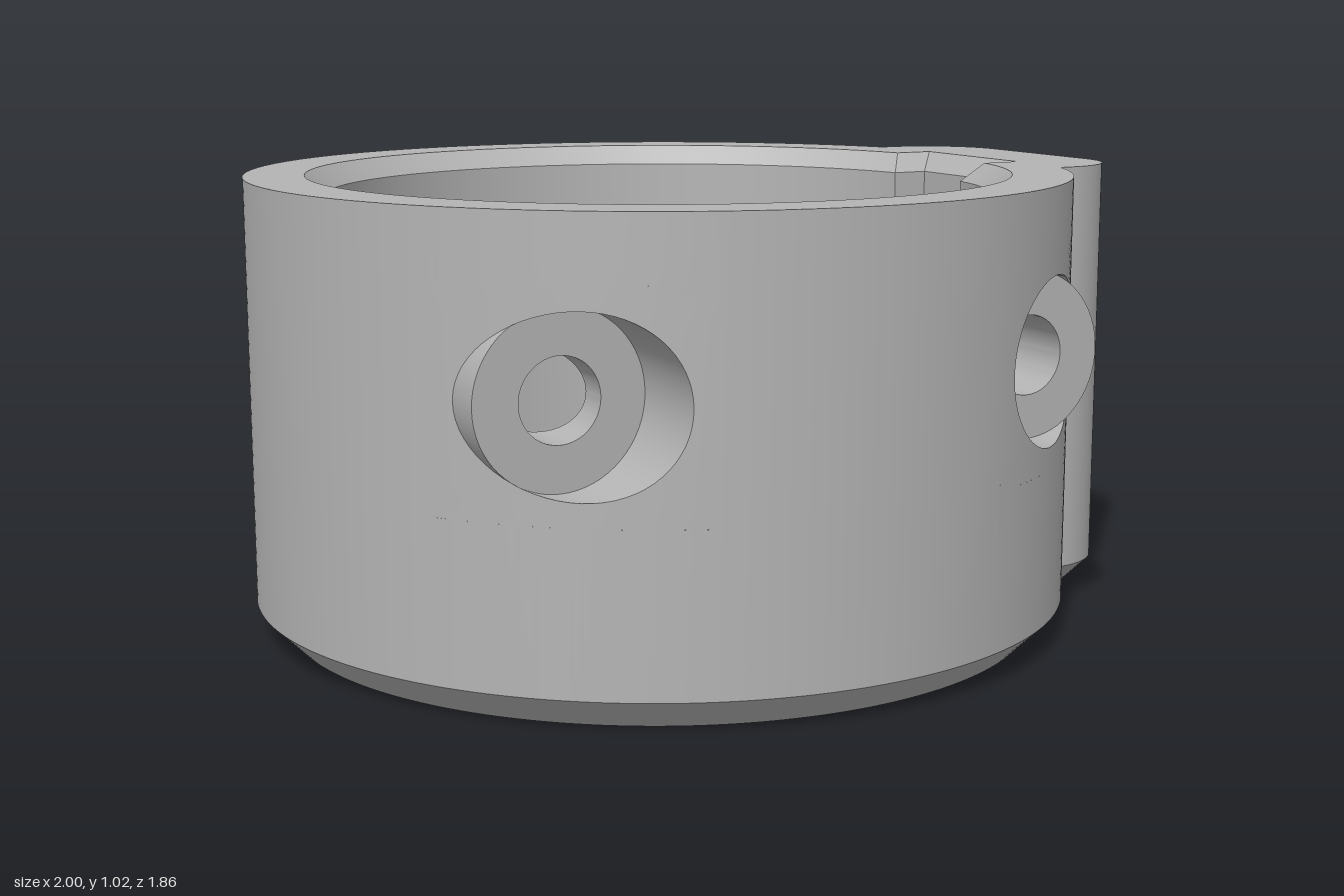
import * as THREE from 'three';
import { mergeGeometries, toCreasedNormals } from 'three/addons/utils/BufferGeometryUtils.js';

const R_OUT = 0.93, R_IN = 0.75, R_BORE = 0.375;   // collar radii
const H = 1.025, FLOOR = 0.09, BEVEL = 0.07, LIP = 0.045;
const HOLE_X = 0.56, HOLE_Y = 0.65, SEAT_Z = 0.65, POCKET_Z = -0.56;
const R_SEAT = 0.185, R_PIN = 0.088, SEG = 64;

const metal = new THREE.MeshStandardMaterial({ color: 0xb4b4b4, side: THREE.DoubleSide });
metal.name = 'plain grey';

const V = (x, y, z) => new THREE.Vector3(x, y, z);
const onCylinder = (r, phi, y) => V(r * Math.sin(phi), y, r * Math.cos(phi));
const range = (n, f) => Array.from({ length: n + 1 }, (_, i) => f(i / n));

// Skin a list of equally long rows of points
function loft(rows, flip = false) {
  const pos = [];
  for (let i = 0; i + 1 < rows.length; i++) {
    for (let j = 0; j + 1 < rows[i].length; j++) {
      const a = rows[i][j], b = rows[i][j + 1], c = rows[i + 1][j + 1], d = rows[i + 1][j];
      for (const p of flip ? [a, c, b, a, d, c] : [a, b, c, a, c, d]) pos.push(p.x, p.y, p.z);
    }
  }
  const g = new THREE.BufferGeometry();
  g.setAttribute('position', new THREE.Float32BufferAttribute(pos, 3));
  return g;
}

// Plan outlines as [x, z]: a circular arc closed by the key on the +x side
function arc(r, half) {
  const a = Math.asin(half / r);
  return range(240, t => a + (2 * Math.PI - 2 * a) * t).map(q => [r * Math.cos(q), -r * Math.sin(q)]);
}
function outerOutline(inset) {
  const h = 0.372 - inset, x = 1.07 - inset, r = 0.185 - inset;
  const corner = range(14, t => [x - r + r * Math.sin(t * Math.PI / 2), h - r + r * Math.cos(t * Math.PI / 2)]);
  return [...arc(R_OUT - inset, h), ...corner, ...corner.map(([u, w]) => [u, -w]).reverse()];
}
function innerOutline(grow) {
  const h = 0.138 + grow, x = 0.825 + grow;
  return [...arc(R_IN + grow, h), [x, h], [x, -h]];
}
const atHeight = (outline, y) => [...outline, outline[0]].map(([x, z]) => V(x, y, z));

// Flat horizontal plate from an outline and a hole
function plate(outline, hole, y, down = false) {
  const pts = o => o.map(([x, z]) => new THREE.Vector2(x, z));
  const shape = new THREE.Shape(pts(outline));
  shape.holes.push(new THREE.Path(pts(hole)));
  return new THREE.ShapeGeometry(shape).rotateX(down ? Math.PI / 2 : -Math.PI / 2).translate(0, y, 0);
}

// Where a pin hole along z breaks through a cylinder, as [phi, y]
function holeCurve(R, r, side, back) {
  return range(SEG, t => {
    const q = t * 2 * Math.PI;
    let x = side * HOLE_X + r * Math.cos(q) * (back ? -1 : 1);
    if (back) x = side * Math.max(side * x, Math.sqrt(R * R - POCKET_Z * POCKET_Z));
    const phi = Math.asin(x / R);
    return [back ? -Math.PI - phi : phi, HOLE_Y + r * Math.sin(q)];
  });
}
const circle = (r, side, z) => range(SEG, t =>
  V(side * HOLE_X + r * Math.cos(t * 2 * Math.PI), HOLE_Y + r * Math.sin(t * 2 * Math.PI), z));

// Cylindrical wall with pin holes; each hole sits in a rectangular window
function piercedWall(R, half, y0, y1, curves, margin, flip) {
  const key = Math.asin(half / R), parts = [];
  const strip = (a, b, lo, hi) => {
    const n = Math.max(2, Math.ceil((b - a) / 0.02));
    parts.push(loft([lo, hi].map(y => range(n, t => onCylinder(R, a + (b - a) * t, y))), flip));
  };
  const windows = curves.map(c => {
    const p = c.map(k => k[0]), y = c.map(k => k[1]);
    return { c, a: Math.min(...p) - margin, b: Math.max(...p) + margin,
      lo: Math.min(...y) - margin, hi: Math.max(...y) + margin };
  }).sort((m, n) => m.a - n.a);
  let from = -1.5 * Math.PI + key;
  for (const { c, a, b, lo, hi } of windows) {
    strip(from, a, y0, y1);
    strip(a, b, y0, lo);
    strip(a, b, hi, y1);
    const rows = range(5, k => c.map(([phi, y], i) => {
      const u = Math.cos(i / SEG * 2 * Math.PI), v = Math.sin(i / SEG * 2 * Math.PI);
      const m = Math.max(Math.abs(u), Math.abs(v));
      const ep = (a + b) / 2 + (b - a) / 2 * u / m, ey = (lo + hi) / 2 + (hi - lo) / 2 * v / m;
      return onCylinder(R, ep + (phi - ep) * k, ey + (y - ey) * k);
    }));
    parts.push(loft(rows, flip));
    from = b;
  }
  strip(from, Math.PI / 2 - key, y0, y1);
  return parts;
}

export function createModel() {
  const model = new THREE.Group();
  model.name = 'keyedCollar';
  const body = new THREE.Group();
  body.name = 'body';
  body.position.x = -0.07;
  model.add(body);
  const add = (name, ...geos) => {
    const g = geos.length > 1 ? mergeGeometries(geos) : geos[0];
    const mesh = new THREE.Mesh(g.index ? g : toCreasedNormals(g, 0.5), metal);
    mesh.name = name;
    body.add(mesh);
  };

  const outer = outerOutline(0), foot = outerOutline(BEVEL);
  const inner = innerOutline(0), lip = innerOutline(LIP);
  const bore = range(96, t => [R_BORE * Math.cos(t * 2 * Math.PI), -R_BORE * Math.sin(t * 2 * Math.PI)]).slice(0, -1);
  const keyOf = (outline, y) => atHeight(outline, y).slice(240);
  const sides = [1, -1];

  // Outside
  add('outerWall', ...piercedWall(R_OUT, 0.372, BEVEL, H,
    sides.map(s => holeCurve(R_OUT, R_SEAT, s, false)), 0.05, false));
  add('keyBoss', loft([keyOf(outer, BEVEL), keyOf(outer, H)]));
  add('bottomBevel', loft([atHeight(foot, 0), atHeight(outer, BEVEL)]));
  add('underside', plate(foot, bore, 0, true));

  // Inside
  add('innerWall', ...piercedWall(R_IN, 0.138, FLOOR, H - LIP,
    sides.flatMap(s => [false, true].map(b => holeCurve(R_IN, R_PIN, s, b))), 0.04, true));
  add('keySlot', loft([keyOf(inner, FLOOR), keyOf(inner, H - LIP)], true));
  add('lipBevel', loft([atHeight(inner, H - LIP), atHeight(lip, H)], true));
  add('topRim', plate(outer, lip, H));
  add('floor', plate(inner, bore, FLOOR));
  add('boreWall', loft([atHeight(bore, 0), atHeight(bore, FLOOR)], true));

  // Pin seats, pin holes and the blind pockets opposite them
  for (const s of sides) {
    const side = s > 0 ? 'left' : 'right';
    const trace = (R, r, back) => holeCurve(R, r, s, back).map(([p, y]) => onCylinder(R, p, y));
    add(side + 'SeatWall', loft([trace(R_OUT, R_SEAT, false), circle(R_SEAT, s, SEAT_Z)]));
    add(side + 'SeatFace', loft([circle(R_SEAT, s, SEAT_Z), circle(R_PIN, s, SEAT_Z)]));
    add(side + 'PinHole', loft([circle(R_PIN, s, SEAT_Z), trace(R_IN, R_PIN, false)]));
    const mouth = trace(R_IN, R_PIN, true);
    const end = mouth.map(p => V(p.x, p.y, POCKET_Z));
    add(side + 'PocketWall', loft([mouth, end], true));
    add(side + 'PocketEnd', loft([end, end.map(() => V(s * HOLE_X, HOLE_Y, POCKET_Z))], true));
  }
  return model;
}
